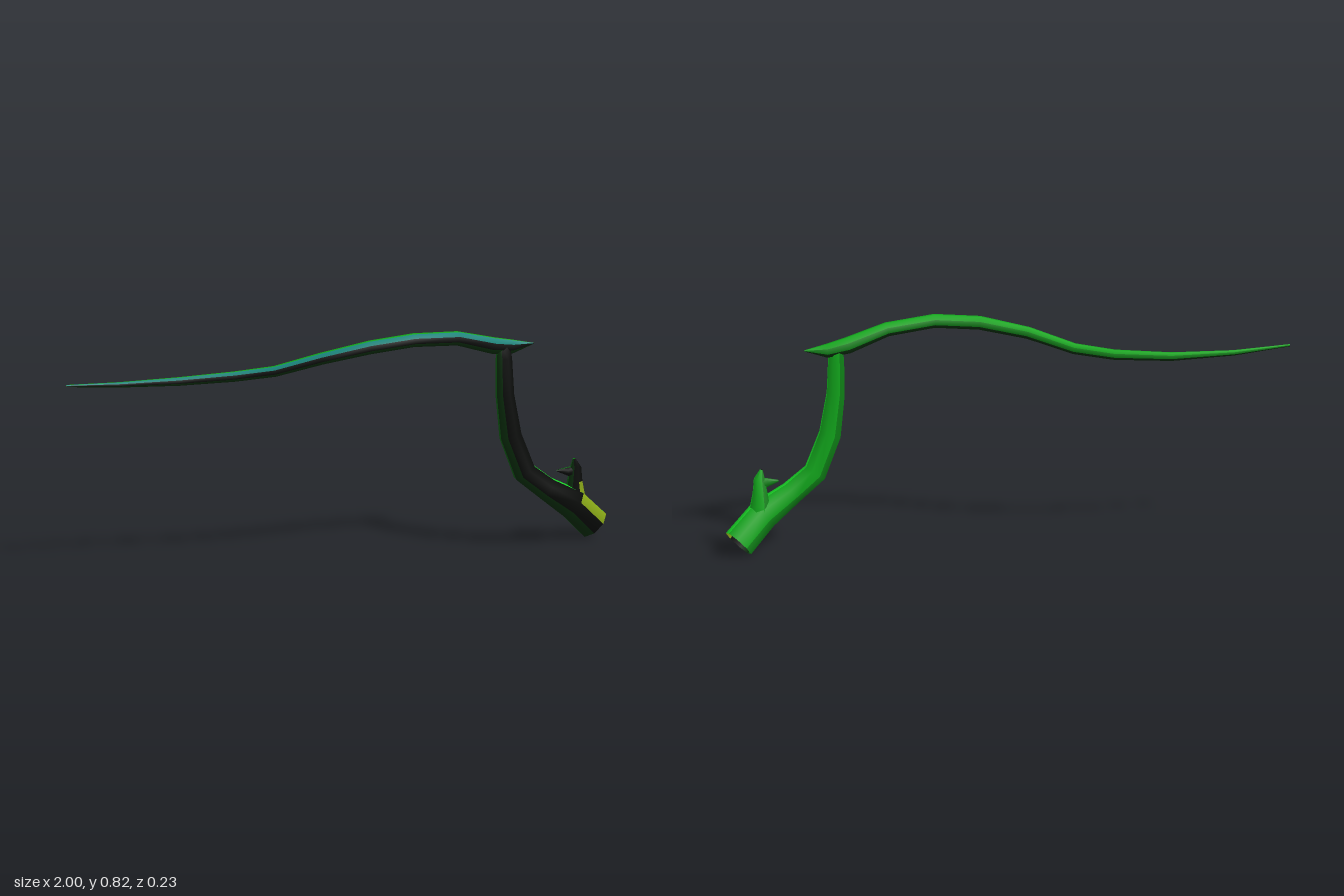
import * as THREE from 'three';

const SIDES = 8;

// Bark tones, dark in front and green behind
const [black, deep, dark, mid, green, bright, teal, olive] =
  [0x080a08, 0x082a0a, 0x0c5a12, 0x0e8216, 0x12a81c, 0x1ad828, 0x14857c, 0x86a416].map(color =>
    new THREE.MeshStandardMaterial({ color, side: THREE.DoubleSide }));

// Loft an open limb through rings of [x, y, z, radius in the bend plane, radius across it].
// paint(side, segment) picks the tone; each tone is one mesh sharing the smooth normals.
function limb(name, rings, paint) {
  const pos = [], index = [], tones = new Map();
  const pts = rings.map(r => new THREE.Vector3(r[0], r[1], r[2]));
  const last = rings.length - 1;
  rings.forEach((r, i) => {
    const t = pts[Math.min(i + 1, last)].clone().sub(pts[Math.max(i - 1, 0)]).normalize();
    const b = new THREE.Vector3(0, 0, 1).addScaledVector(t, -t.z).normalize();
    const n = new THREE.Vector3().crossVectors(b, t);
    for (let k = 0; k < SIDES; k++) {
      const a = ((k + 0.5) / SIDES) * Math.PI * 2;
      const p = pts[i].clone().addScaledVector(n, Math.cos(a) * r[3]).addScaledVector(b, Math.sin(a) * r[4]);
      pos.push(p.x, p.y, p.z);
    }
  });
  for (let i = 0; i < last; i++) {
    for (let k = 0; k < SIDES; k++) {
      const a = i * SIDES + k, b = i * SIDES + (k + 1) % SIDES;
      const quad = [a, b, a + SIDES, b, b + SIDES, a + SIDES];
      const tone = paint(k, i);
      if (!tones.has(tone)) tones.set(tone, []);
      tones.get(tone).push(...quad);
      index.push(...quad);
    }
  }
  const whole = new THREE.BufferGeometry();
  whole.setAttribute('position', new THREE.Float32BufferAttribute(pos, 3));
  whole.setIndex(index);
  whole.computeVertexNormals();

  const group = new THREE.Group();
  group.name = name;
  for (const [tone, faces] of tones) {
    const geo = whole.clone().setIndex(faces);
    const mesh = new THREE.Mesh(geo, tone);
    mesh.name = name + 'Bark';
    group.add(mesh);
  }
  return group;
}

export function createModel() {
  const group = new THREE.Group();
  group.name = 'branch';

  // Sides in order: left-front, front, right-front, right, right-back, back, left-back, left
  const upright = [deep, black, black, bright, green, green, mid, dark];
  // Sides in order: low-front, front, top-front, top, top-back, back, low-back, underside
  const level = [deep, black, teal, green, green, mid, deep, black];

  // Thick hollow stem rising from its open base, with a bare strip beside the opening
  group.add(limb('stem', [
    [0.951, 0.043, -0.073, 0.06, 0.046],
    [0.862, 0.133, -0.026, 0.058, 0.042],
    [0.76, 0.202, 0.002, 0.044, 0.035],
    [0.675, 0.272, 0.017, 0.043, 0.034],
    [0.622, 0.41, 0.026, 0.041, 0.031],
    [0.602, 0.56, 0.025, 0.034, 0.027],
    [0.601, 0.69, 0.016, 0.03, 0.022],
    [0.601, 0.735, 0.01, 0.024, 0.014],
  ], (k, i) => (i === 0 && k === 2 ? olive : upright[k])));

  // Long, thin, wavy bough with a pointed heel over the stem
  group.add(limb('bough', [
    [0.715, 0.732, -0.006, 0.002, 0.002],
    [0.635, 0.728, 0.002, 0.026, 0.017],
    [0.56, 0.741, 0.018, 0.031, 0.02],
    [0.42, 0.786, 0.052, 0.026, 0.021],
    [0.25, 0.801, 0.09, 0.025, 0.022],
    [0.09, 0.788, 0.097, 0.025, 0.021],
    [-0.08, 0.754, 0.076, 0.022, 0.018],
    [-0.24, 0.707, 0.031, 0.02, 0.016],
    [-0.38, 0.691, 0.004, 0.019, 0.014],
    [-0.58, 0.684, -0.009, 0.016, 0.011],
    [-0.8, 0.69, 0.001, 0.01, 0.007],
    [-1, 0.706, 0.025, 0.004, 0.004],
  ], k => level[k]));

  // Short broken twig near the base and its side spur
  group.add(limb('twig', [
    [0.872, 0.12, -0.034, 0.046, 0.034],
    [0.872, 0.17, -0.033, 0.037, 0.029],
    [0.872, 0.215, -0.029, 0.028, 0.021],
    [0.874, 0.265, -0.025, 0.021, 0.014],
    [0.867, 0.298, -0.019, 0.005, 0.005],
  ], (k, i) => (i < 2 && k === 2 ? olive : upright[k])));
  group.add(limb('twigSpur', [
    [0.874, 0.248, -0.026, 0.024, 0.013],
    [0.845, 0.252, -0.025, 0.016, 0.011],
    [0.806, 0.257, -0.024, 0.003, 0.003],
  ], k => (k < 3 ? black : mid)));

  return group;
}
